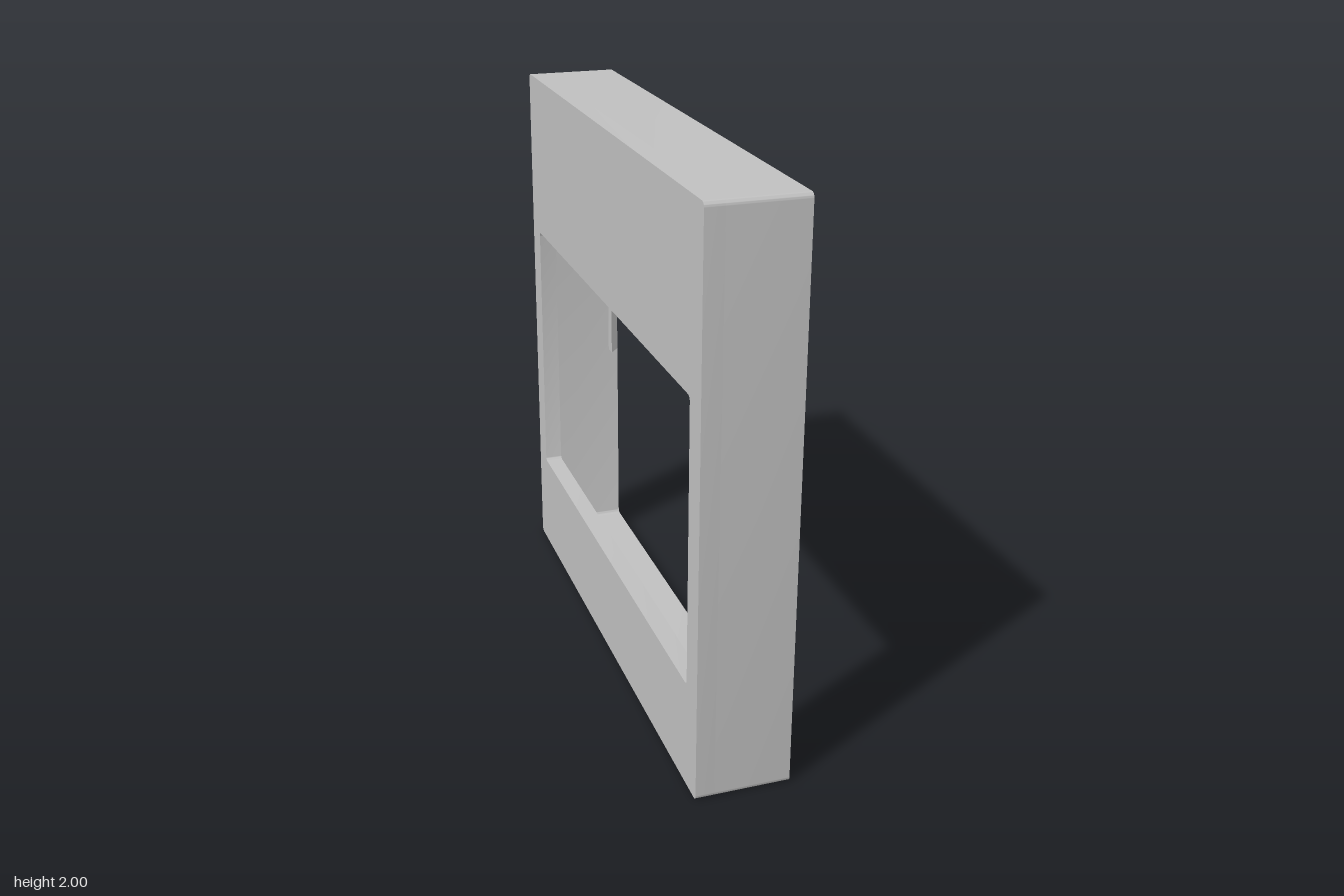
import * as THREE from 'three';
import { toCreasedNormals } from 'three/addons/utils/BufferGeometryUtils.js';

const HALF_X = 0.165; // half the frame depth
const PANEL = 0.065; // back panel thickness

// Traces a rounded rectangle spanning z = -w..w and y = y0..y1
function roundedRect(path, w, y0, y1, r) {
  path.moveTo(-w + r, y0);
  path.lineTo(w - r, y0);
  path.absarc(w - r, y0 + r, r, -Math.PI / 2, 0, false);
  path.lineTo(w, y1 - r);
  path.absarc(w - r, y1 - r, r, 0, Math.PI / 2, false);
  path.lineTo(-w + r, y1);
  path.absarc(-w + r, y1 - r, r, Math.PI / 2, Math.PI, false);
  path.lineTo(-w, y0 + r);
  path.absarc(-w + r, y0 + r, r, Math.PI, Math.PI * 1.5, false);
  return path;
}

// Square plate with a rectangular opening, extruded along x from x0 to x1
function ring(hole, x0, x1) {
  const shape = roundedRect(new THREE.Shape(), 1, 0, 2, 0.017);
  shape.holes.push(roundedRect(new THREE.Path(), ...hole));
  const geo = new THREE.ExtrudeGeometry(shape, { depth: x1 - x0, bevelEnabled: false, curveSegments: 6 });
  geo.rotateY(Math.PI / 2);
  geo.translate(x0, 0, 0);
  return toCreasedNormals(geo, 0.6);
}

export function createModel() {
  const group = new THREE.Group();
  const grey = new THREE.MeshStandardMaterial({ color: 0xbfbfbf });
  grey.name = 'greyPlastic';

  const add = (name, geo) => {
    const mesh = new THREE.Mesh(geo, grey);
    mesh.name = name;
    group.add(mesh);
  };

  // Deep outer walls, open towards +x
  add('outerFrame', ring([0.935, 0.068, 1.935, 0.017], -HALF_X + PANEL, HALF_X));

  // Back panel with its off-centre window
  add('backPanel', ring([0.902, 0.382, 1.385, 0.017], -HALF_X, -HALF_X + PANEL));

  // Wedge-shaped snap clips just inside the rim
  for (const side of [1, -1]) {
    const wedge = new THREE.Shape([
      new THREE.Vector2(HALF_X, -side * 0.935),
      new THREE.Vector2(HALF_X - 0.038, -side * 0.935),
      new THREE.Vector2(HALF_X - 0.038, -side * 0.89),
    ]);
    const geo = new THREE.ExtrudeGeometry(wedge, { depth: 0.325, bevelEnabled: false });
    geo.rotateX(-Math.PI / 2);
    geo.translate(0, 0.84, 0);
    add(side > 0 ? 'frontClip' : 'rearClip', geo);
  }

  return group;
}
